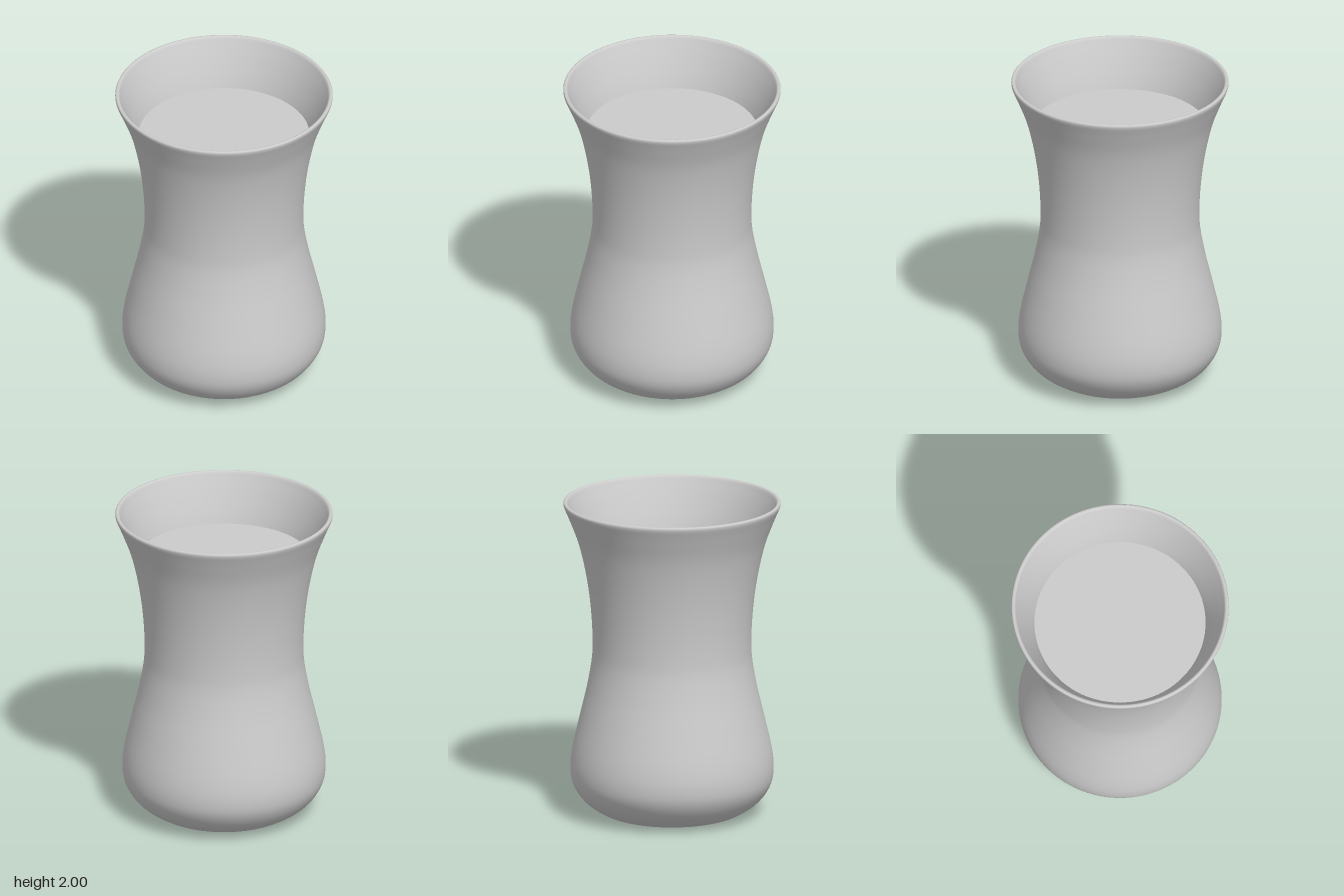
import * as THREE from 'three';

const SEGMENTS = 96;
const v = (x, y) => new THREE.Vector2(x, y);
const smooth = (points, n) => new THREE.SplineCurve(points).getPoints(n);

function lathe(name, points) {
  const material = new THREE.MeshStandardMaterial({ color: 0xcccccc });
  const mesh = new THREE.Mesh(new THREE.LatheGeometry(points, SEGMENTS), material);
  mesh.name = name;
  return mesh;
}

export function createModel() {
  const group = new THREE.Group();
  group.name = 'teaGlass';

  // Waisted outer wall, from the foot up to the flared lip
  const outer = smooth([
    v(0.36, 0), v(0.44, 0.025), v(0.545, 0.095), v(0.612, 0.19), v(0.632, 0.29),
    v(0.62, 0.42), v(0.575, 0.62), v(0.53, 0.81), v(0.5, 0.98), v(0.494, 1.1),
    v(0.499, 1.25), v(0.516, 1.42), v(0.545, 1.59), v(0.585, 1.75),
    v(0.638, 1.89), v(0.67, 1.965),
  ], 70);

  // Rounded lip
  const lip = smooth([v(0.67, 1.965), v(0.676, 1.985), v(0.672, 1.998), v(0.66, 2), v(0.65, 1.992), v(0.64, 1.97)], 12).slice(1);

  // Inner wall, from the lip down to the inside floor
  const inner = smooth([
    v(0.64, 1.97), v(0.6, 1.88), v(0.546, 1.74), v(0.505, 1.59), v(0.476, 1.42),
    v(0.459, 1.25), v(0.454, 1.1), v(0.46, 0.98), v(0.49, 0.81), v(0.535, 0.62),
    v(0.58, 0.42), v(0.592, 0.29), v(0.574, 0.2), v(0.515, 0.125), v(0.42, 0.07), v(0.34, 0.06),
  ], 60).slice(1);

  group.add(lathe('glass', [v(0, 0), ...outer, ...lip, ...inner, v(0, 0.06)]));

  // Flat drink surface resting against the inner wall
  const drink = new THREE.Mesh(
    new THREE.CircleGeometry(0.532, SEGMENTS).rotateX(-Math.PI / 2),
    new THREE.MeshStandardMaterial({ color: 0xcccccc, side: THREE.DoubleSide })
  );
  drink.name = 'drinkSurface';
  drink.position.y = 1.695;
  group.add(drink);

  return group;
}
